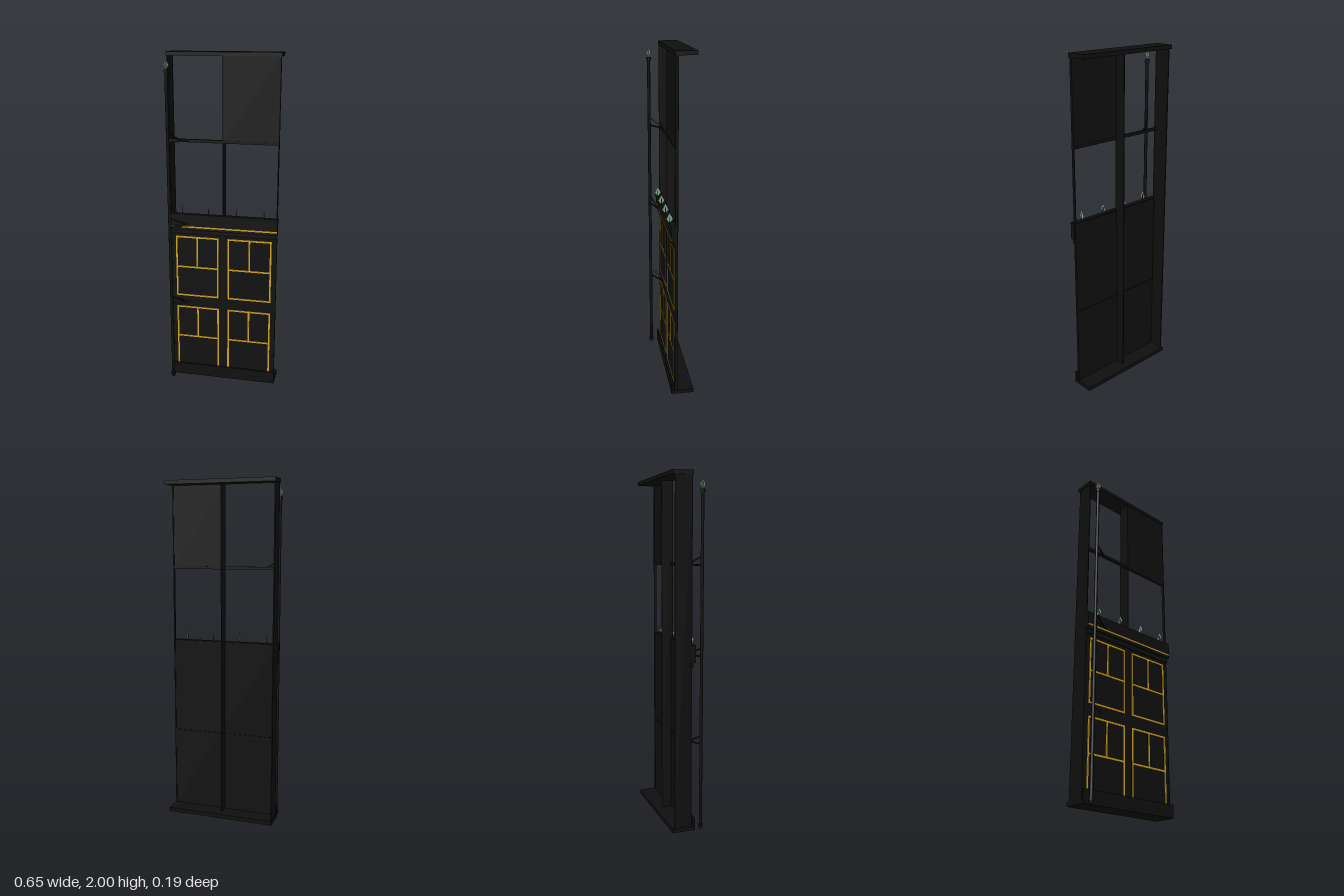
import * as THREE from 'three';

const black = new THREE.MeshStandardMaterial({ name: 'black paint', color: 0x0f0f0f });
const gold = new THREE.MeshStandardMaterial({ name: 'gold trim', color: 0xd0a21a });
const green = new THREE.MeshStandardMaterial({ name: 'verdigris', color: 0x7f9f88, side: THREE.DoubleSide });

export function createModel() {
  const model = new THREE.Group();
  model.name = 'panelledBay';

  const add = (name, geometry, material, parent = model) => {
    const mesh = new THREE.Mesh(geometry, material);
    mesh.name = name;
    parent.add(mesh);
    return mesh;
  };
  // Box given by its lower and upper limits on each axis
  const box = (name, material, x0, x1, y0, y1, z0, z1, parent) =>
    add(name, new THREE.BoxGeometry(x1 - x0, y1 - y0, z1 - z0), material, parent)
      .position.set((x0 + x1) / 2, (y0 + y1) / 2, (z0 + z1) / 2);
  // Round bar between two points
  const bar = (name, a, b, radius, parent) => {
    const from = new THREE.Vector3(...a), to = new THREE.Vector3(...b);
    const dir = to.clone().sub(from);
    const mesh = add(name, new THREE.CylinderGeometry(radius, radius, dir.length(), 8), black, parent);
    mesh.position.copy(from).add(to).multiplyScalar(0.5);
    mesh.quaternion.setFromUnitVectors(new THREE.Vector3(0, 1, 0), dir.normalize());
  };
  // Flat spearhead lying in the yz plane
  const spearShape = new THREE.Shape([[0, -0.5], [0.5, -0.08], [0, 0.5], [-0.5, -0.08]]
    .map(([x, y]) => new THREE.Vector2(x, y)));
  const spear = (name, x, y, z, width, height, turn, parent) => {
    const mesh = add(name, new THREE.ShapeGeometry(spearShape), green, parent);
    mesh.scale.set(width, height, 1);
    mesh.rotation.y = turn;
    mesh.position.set(x, y, z);
  };

  // Base, plinth board and top cap
  box('base', black, -0.327, 0.327, 0, 0.024, -0.097, 0.035);
  box('plinthBoard', black, -0.327, 0.327, 0, 0.075, 0.026, 0.036);
  box('topCap', black, -0.327, 0.327, 1.977, 2, -0.097, 0.019);

  // Uprights: deep side wall, shallower mullion, narrow edge
  box('sideWall', black, -0.323, -0.317, 0.02, 1.98, -0.084, 0.016);
  box('mullion', black, -0.003, 0.003, 0.02, 1.98, -0.054, 0.016);
  box('edgePost', black, 0.317, 0.323, 0.02, 1.98, 0, 0.016);

  // Panels and rails
  box('lowerPanel', black, -0.323, 0.323, 0.02, 1.065, 0.004, 0.015);
  box('upperPanel', black, 0, 0.32, 1.5, 1.98, 0.004, 0.015);
  box('transom', black, -0.32, 0.32, 1.495, 1.512, 0, 0.016);
  box('middleRail', black, -0.32, 0.32, 0.494, 0.506, 0, 0.008);

  // Belt course with its stepped moulding and gold line
  box('belt', black, -0.327, 0.327, 0.97, 1.068, 0.008, 0.038);
  box('beltMoulding', black, -0.325, 0.325, 0.943, 0.97, 0.008, 0.024);
  box('beltLine', gold, -0.325, 0.325, 0.986, 0.995, 0.037, 0.04);

  // Gold panel outlines
  const w = 0.005;
  const trim = (x0, x1, y0, y1) => box('goldTrim', gold, x0 - w, x1 + w, y0 - w, y1 + w, 0.014, 0.018);
  for (const cx of [-0.16, 0.16]) {
    for (const [bottom, middle, top] of [[0.541, 0.727, 0.919], [0.06, 0.262, 0.461]]) {
      for (const y of [bottom, middle, top]) trim(cx - 0.128, cx + 0.128, y, y);
      for (const x of [cx - 0.128, cx + 0.128]) trim(x, x, bottom, top);
      trim(cx, cx, middle, top);
    }
  }

  // Row of spearheads along the belt
  for (const x of [-0.246, -0.083, 0.083, 0.246]) {
    spear('beltSpear', x, 1.092, 0.035, 0.04, 0.066, Math.PI / 2);
    box('spearStem', black, x - 0.002, x + 0.002, 1.06, 1.1, 0.033, 0.037);
  }

  // Corner pole with collars and crossed spearhead
  const px = -0.31, pz = 0.077;
  const pole = new THREE.Group();
  pole.name = 'cornerPole';
  model.add(pole);
  bar('shaft', [px, 0, pz], [px, 1.9, pz], 0.0095, pole);
  bar('footCollar', [px, 0.008, pz], [px, 0.026, pz], 0.014, pole);
  bar('topCollar', [px, 1.886, pz], [px, 1.906, pz], 0.014, pole);
  for (let i = 0; i < 4; i++) spear('poleSpear', px, 1.935, pz, 0.034, 0.062, i * Math.PI / 4, pole);

  // Brackets tying the pole to the frame
  for (const [y, z, braceX] of [[0.5, 0.016, -0.25], [1, 0.044, -0.205], [1.503, 0.016, -0.25]]) {
    bar('bracketArm', [px, y, pz], [-0.203, y, z], 0.005, pole);
    bar('bracketBrace', [px, y + 0.048, pz], [braceX, y + 0.003, z], 0.004, pole);
  }
  return model;
}
